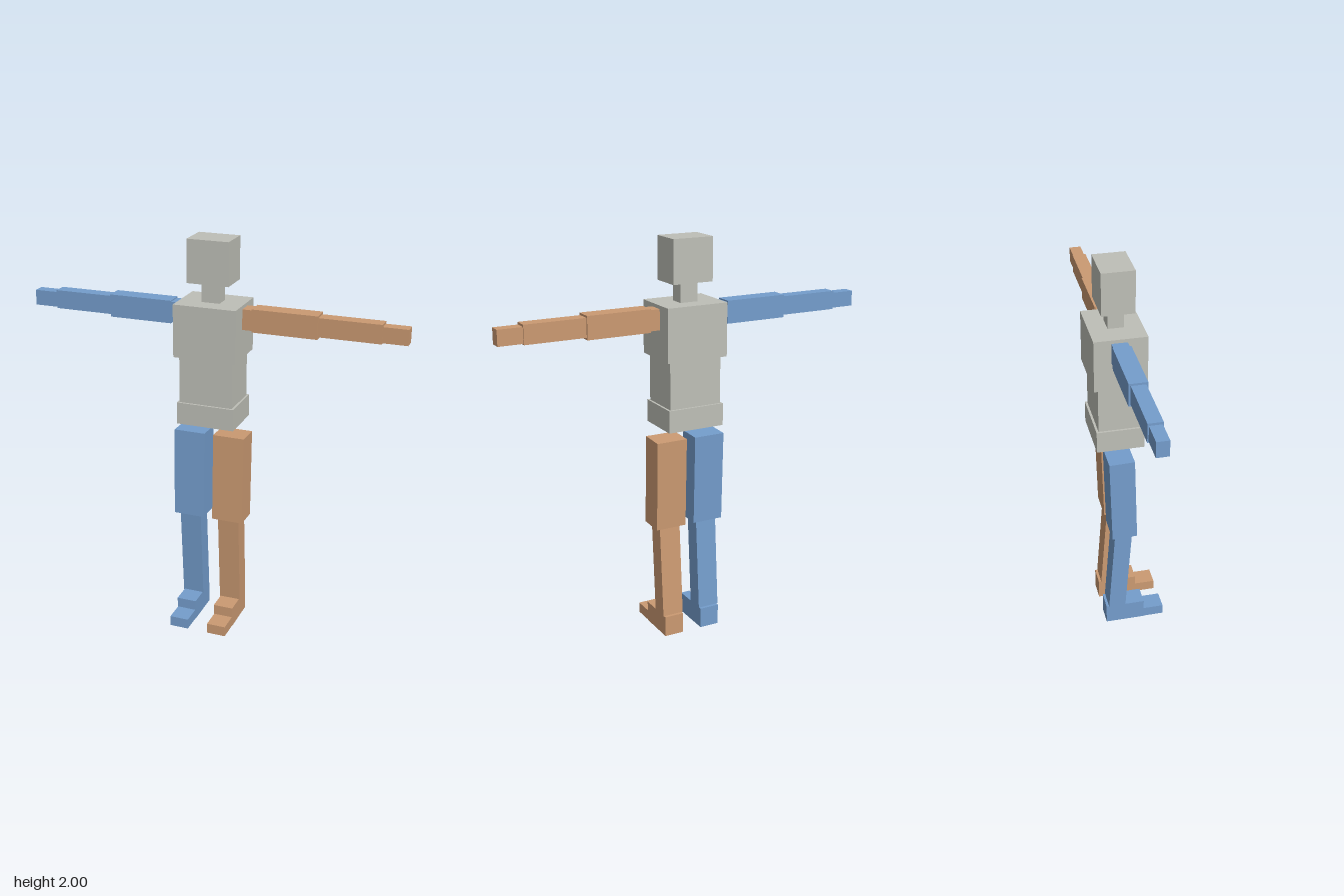
import * as THREE from 'three';

const material = (name, color) => {
  const m = new THREE.MeshStandardMaterial({ color });
  m.name = name;
  return m;
};

export function createModel() {
  const grey = material('warm grey', 0xbebfb7);
  const orange = material('tan orange', 0xcb9a72);
  const blue = material('soft blue', 0x749dcc);

  // Box from its [min, max] extents on each axis, tilted about x at its centre
  const block = (parent, name, mat, [x0, x1], [y0, y1], [z0, z1], tilt = 0) => {
    const mesh = new THREE.Mesh(new THREE.BoxGeometry(Math.abs(x1 - x0), y1 - y0, z1 - z0), mat);
    mesh.position.set((x0 + x1) / 2, (y0 + y1) / 2, (z0 + z1) / 2);
    mesh.rotation.x = tilt;
    mesh.name = name;
    parent.add(mesh);
  };

  const figure = new THREE.Group();
  figure.name = 'blockFigure';

  // Head and torso
  const body = new THREE.Group();
  body.name = 'body';
  figure.add(body);
  block(body, 'head', grey, [-0.104, 0.104], [1.79, 2], [-0.127, 0.031]);
  block(body, 'neck', grey, [-0.045, 0.045], [1.694, 1.79], [-0.086, -0.01]);
  block(body, 'chest', grey, [-0.157, 0.157], [1.434, 1.694], [-0.175, 0.079]);
  block(body, 'abdomen', grey, [-0.135, 0.135], [1.2, 1.434], [-0.153, 0.058]);
  block(body, 'pelvis', grey, [-0.146, 0.146], [1.09, 1.2], [-0.164, 0.069]);

  // Mirrored limbs: s = 1 is the left side (+x)
  for (const [side, s, mat] of [['left', 1, orange], ['right', -1, blue]]) {
    const span = (a, b) => [s * a, s * b];

    const arm = new THREE.Group();
    arm.name = side + 'Arm';
    figure.add(arm);
    block(arm, 'shoulder', mat, span(0.1, 0.205), [1.577, 1.677], [-0.092, -0.016]);
    block(arm, 'upperArm', mat, span(0.205, 0.525), [1.571, 1.683], [-0.097, -0.011]);
    block(arm, 'forearm', mat, span(0.525, 0.825), [1.581, 1.673], [-0.088, -0.02]);
    block(arm, 'hand', mat, span(0.825, 0.945), [1.586, 1.662], [-0.082, -0.024]);

    const leg = new THREE.Group();
    leg.name = side + 'Leg';
    figure.add(leg);
    block(leg, 'thigh', mat, span(0.023, 0.182), [0.577, 1.03], [-0.105, 0.021], -0.029);
    block(leg, 'shin', mat, span(0.047, 0.157), [0.103, 0.58], [-0.097, -0.01], 0.073);
    block(leg, 'foot', mat, span(0.051, 0.152), [0, 0.105], [-0.127, 0.074]);
    block(leg, 'toe', mat, span(0.053, 0.15), [0, 0.053], [0.074, 0.178]);
  }

  return figure;
}
